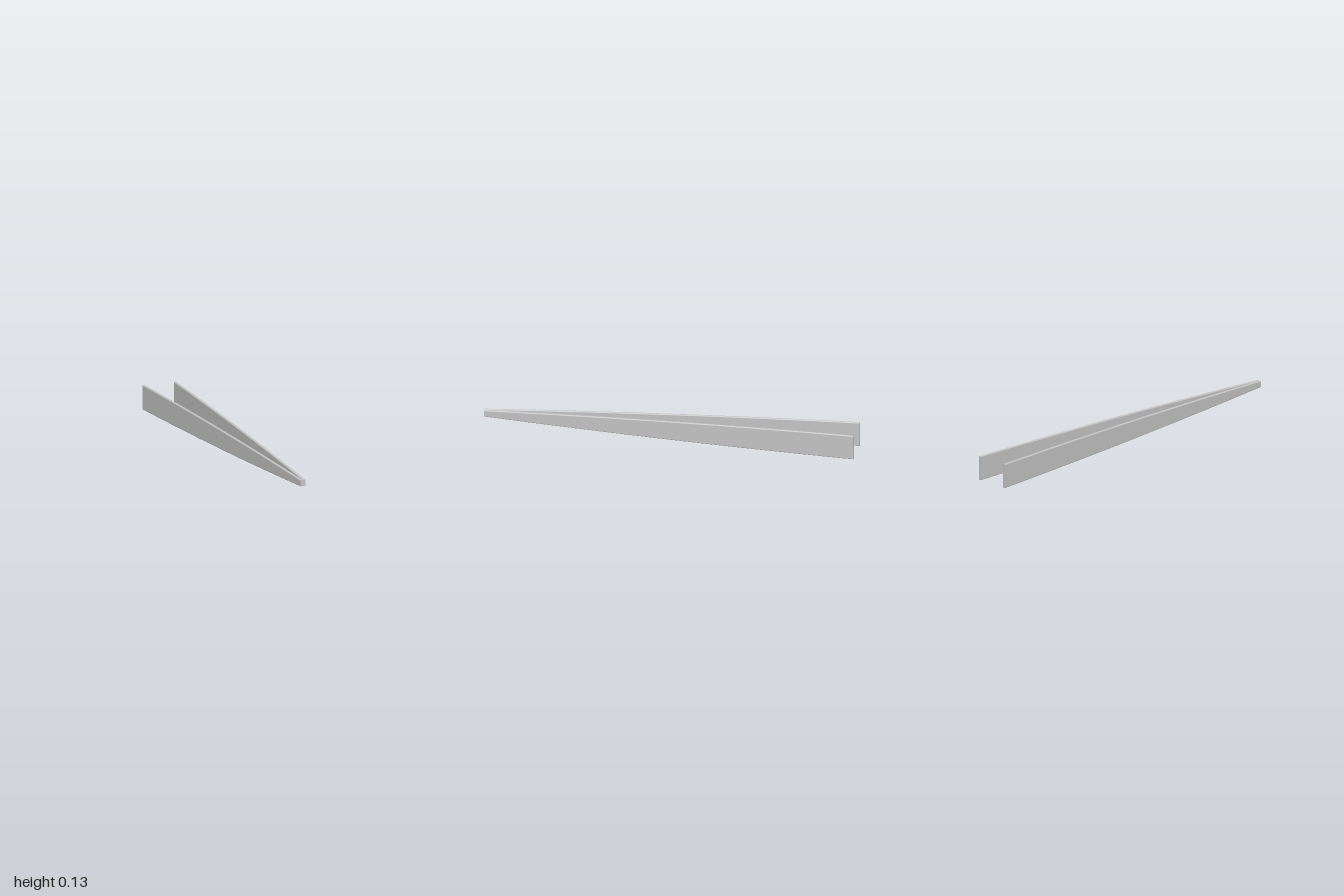
import * as THREE from 'three';

const STEPS = 20, CORNER = 5;
const THICK = 0.015, RADIUS = 0.005, MID_Y = 0.067;

// blade outline along t: 0 = tip (front), 1 = wide end (back)
const halfHeight = t => 0.0175 + 0.088 * t - 0.0385 * t * t;
const heightSlope = t => 0.088 - 0.077 * t;
const SPREAD = 0.0825;
const centreX = t => 0.0075 + SPREAD * t;

// rounded rectangle section, counter-clockwise, with outward normals
function section(half) {
  const points = [];
  const corners = [[1, -1], [1, 1], [-1, 1], [-1, -1]];
  corners.forEach(([sx, sy], q) => {
    for (let k = 0; k <= CORNER; k++) {
      const a = (q - 1 + k / CORNER) * Math.PI / 2;
      const nx = Math.cos(a), ny = Math.sin(a);
      points.push({
        x: sx * (THICK / 2 - RADIUS) + RADIUS * nx,
        y: sy * (half - RADIUS) + RADIUS * ny,
        nx, ny, sy,
      });
    }
  });
  return points;
}

// long wall of the blade, lofted through the sections
function bladeWall(side) {
  const position = [], normal = [], index = [];
  const n = 4 * (CORNER + 1);
  for (let i = 0; i <= STEPS; i++) {
    const t = i / STEPS;
    for (const p of section(halfHeight(t))) {
      position.push(side * centreX(t) + p.x, MID_Y + p.y, 1 - 2 * t);
      const v = new THREE.Vector3(p.nx, p.ny,
        (p.nx * side * SPREAD + p.ny * p.sy * heightSlope(t)) / 2).normalize();
      normal.push(v.x, v.y, v.z);
    }
  }
  for (let i = 0; i < STEPS; i++) {
    for (let j = 0; j < n; j++) {
      const a = i * n + j, b = i * n + (j + 1) % n;
      index.push(a, a + n, b, b, a + n, b + n);
    }
  }
  const geometry = new THREE.BufferGeometry();
  geometry.setAttribute('position', new THREE.Float32BufferAttribute(position, 3));
  geometry.setAttribute('normal', new THREE.Float32BufferAttribute(normal, 3));
  geometry.setIndex(index);
  return geometry;
}

// flat end of a blade
function endCap(t, side) {
  const shape = new THREE.Shape(section(halfHeight(t)).map(p => new THREE.Vector2(p.x, p.y)));
  const geometry = new THREE.ShapeGeometry(shape);
  if (t === 1) geometry.rotateY(Math.PI);
  return geometry.translate(side * centreX(t), MID_Y, 1 - 2 * t);
}

export function createModel() {
  const model = new THREE.Group();
  model.name = 'taperedBlades';
  const grey = new THREE.MeshStandardMaterial({ color: 0xc4c4c4 });
  grey.name = 'light grey';

  for (const [name, side] of [['left', 1], ['right', -1]]) {
    const blade = new THREE.Group();
    blade.name = name + 'Blade';
    const add = (part, geometry) => {
      const mesh = new THREE.Mesh(geometry, grey);
      mesh.name = name + part;
      blade.add(mesh);
    };
    add('Wall', bladeWall(side));
    add('Tip', endCap(0, side));
    add('BackEnd', endCap(1, side));
    model.add(blade);
  }
  return model;
}
